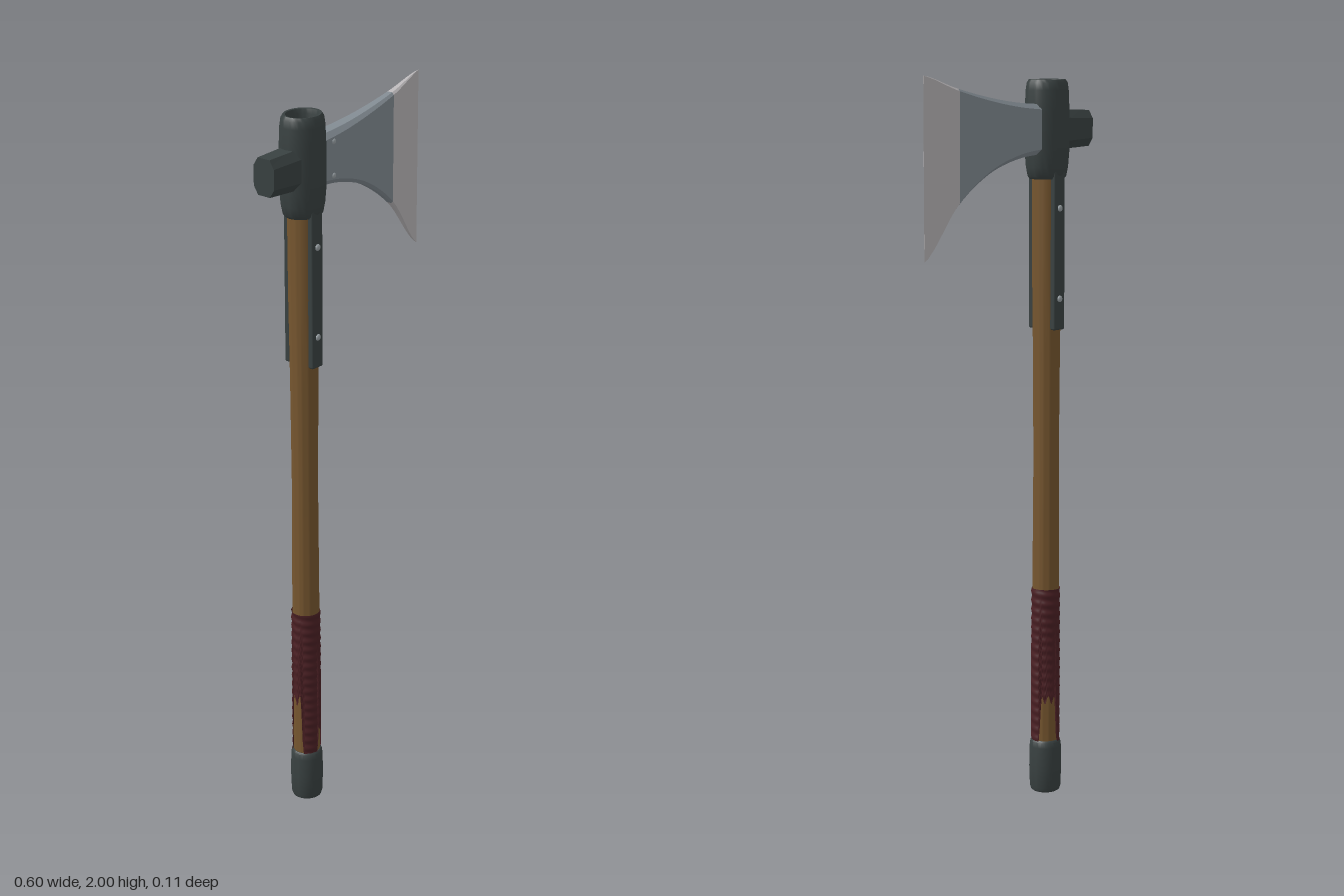
import * as THREE from 'three';
import { toCreasedNormals } from 'three/addons/utils/BufferGeometryUtils.js';
import { RoundedBoxGeometry } from 'three/addons/geometries/RoundedBoxGeometry.js';

const AXIS = -0.157; // x of the haft

function material(name, color, side = THREE.FrontSide) {
  const m = new THREE.MeshStandardMaterial({ color, side });
  m.name = name;
  return m;
}

// Lathe around the haft axis; points are [radius, y]
function lathe(points, zScale = 1) {
  const g = new THREE.LatheGeometry(points.map(p => new THREE.Vector2(p[0], p[1])), 40);
  return toCreasedNormals(g.scale(1, 1, zScale), 0.6).translate(AXIS, 0, 0);
}

// Loft of chamfered sections { x, top, bottom, w (half thickness), c (chamfer) }
function loft(sections) {
  const rings = sections.map(({ x, top, bottom, w, c }) => {
    const n = w * 0.58;
    return [
      [w, bottom + c], [w, top - c], [n, top], [-n, top],
      [-w, top - c], [-w, bottom + c], [-n, bottom], [n, bottom],
    ].map(([z, y]) => [x, y, z]);
  });
  const pos = [];
  const tri = (a, b, c) => pos.push(...a, ...b, ...c);
  for (let i = 0; i < rings.length - 1; i++) {
    for (let j = 0; j < 8; j++) {
      const k = (j + 1) % 8;
      tri(rings[i][j], rings[i + 1][j], rings[i + 1][k]);
      tri(rings[i][j], rings[i + 1][k], rings[i][k]);
    }
  }
  const first = rings[0], last = rings[rings.length - 1];
  for (let j = 1; j < 7; j++) {
    tri(first[0], first[j], first[j + 1]);
    tri(last[0], last[j + 1], last[j]);
  }
  const g = new THREE.BufferGeometry();
  g.setAttribute('position', new THREE.Float32BufferAttribute(pos, 3));
  return toCreasedNormals(g, 0.3);
}

// Ribbed wrap whose lower edge is torn away in three places
function wrapGeometry() {
  const g = new THREE.CylinderGeometry(1, 1, 1, 72, 110, true);
  const p = g.attributes.position;
  const tears = [[0.45, 0.4, 0.075], [2.55, 0.65, 0.125], [4.65, 0.5, 0.17]];
  for (let i = 0; i < p.count; i++) {
    const a = Math.atan2(p.getX(i), p.getZ(i));
    let low = 0.145;
    for (const [center, width, height] of tears) {
      const d = Math.abs(Math.atan2(Math.sin(a - center), Math.cos(a - center))) / width;
      const ragged = 1 + 0.1 * Math.sin(a * 13);
      low += height * ragged * (1 - THREE.MathUtils.smoothstep(d, 0.7, 1.15));
    }
    const y = THREE.MathUtils.lerp(low, 0.585, p.getY(i) + 0.5);
    const r = 0.0392 + 0.0013 * Math.sin((y / 0.026) * Math.PI * 2 + a);
    p.setXYZ(i, AXIS + r * Math.sin(a), y, r * Math.cos(a));
  }
  g.computeVertexNormals();
  return g;
}

export function createModel() {
  const wood = material('wood', 0x76562f);
  const iron = material('dark iron', 0x394141);
  const steel = material('steel', 0x818a91);
  const edge = material('ground edge', 0xb9b6b8);
  const cloth = material('red wrap', 0x4b2024, THREE.DoubleSide);
  const rivetMetal = material('rivet metal', 0x99a1a5);

  const group = new THREE.Group();
  group.name = 'axe';
  const add = (name, geometry, mat) => {
    const mesh = new THREE.Mesh(geometry, mat);
    mesh.name = name;
    group.add(mesh);
    return mesh;
  };

  // Haft with domed top, wrap and end cap
  add('haft', lathe([
    [0.036, 0.03], [0.037, 0.3], [0.037, 0.6], [0.035, 0.95], [0.037, 1.25],
    [0.040, 1.5], [0.041, 1.75], [0.043, 1.93], [0.037, 1.945], [0.022, 1.955], [0, 1.96],
  ]), wood);
  add('gripWrap', wrapGeometry(), cloth);
  add('endCap', lathe([
    [0, 0], [0.034, 0], [0.040, 0.004], [0.043, 0.014], [0.045, 0.07],
    [0.044, 0.13], [0.042, 0.145], [0.038, 0.15], [0.034, 0.15],
  ]), iron);

  // Collar around the top of the haft
  add('collar', lathe([
    [0.040, 1.72], [0.050, 1.718], [0.056, 1.725], [0.061, 1.75], [0.0645, 1.79], [0.0645, 1.9],
    [0.062, 1.955], [0.059, 1.974], [0.053, 1.983], [0.047, 1.982], [0.043, 1.97], [0.042, 1.92],
  ], 0.87), iron);

  // Poll block behind the collar
  add('poll', loft([
    { x: -0.302, top: 1.898, bottom: 1.801, w: 0.034, c: 0.022 },
    { x: -0.207, top: 1.902, bottom: 1.797, w: 0.038, c: 0.022 },
    { x: -0.18, top: 1.902, bottom: 1.797, w: 0.038, c: 0.022 },
  ]), iron);

  // Flaring blade and its ground edge
  const curve = pts => new THREE.SplineCurve(pts.map(p => new THREE.Vector2(p[0], p[1])));
  const upper = curve([[-0.13, 1.918], [-0.022, 1.925], [0.086, 1.942], [0.194, 1.967], [0.302, 2.0]]);
  const lower = curve([[-0.13, 1.786], [-0.022, 1.774], [0.086, 1.735], [0.194, 1.655], [0.302, 1.522]]);
  const section = x => {
    const t = (x + 0.13) / 0.432;
    const w = x < 0.185
      ? THREE.MathUtils.mapLinear(x, -0.13, 0.185, 0.033, 0.0135)
      : 0.0135 * Math.pow((0.3025 - x) / 0.1175, 0.8);
    return { x, top: upper.getPoint(t).y, bottom: lower.getPoint(t).y, w, c: w * 0.45 };
  };
  const span = (a, b, n) => Array.from({ length: n + 1 }, (_, i) => section(a + ((b - a) * i) / n));
  add('blade', loft(span(-0.13, 0.185, 18)), steel);
  add('cuttingEdge', loft(span(0.185, 0.302, 8)), edge);

  // Straps and rivets on front and back of the haft
  const rivet = (name, x, y, z, r) => {
    const mesh = add(name, new THREE.SphereGeometry(r, 16, 10), rivetMetal);
    mesh.scale.z = 0.6;
    mesh.position.set(x, y, z);
  };
  for (const s of [1, -1]) {
    const strap = add('strap', new RoundedBoxGeometry(0.042, 0.44, 0.018, 2, 0.005), iron);
    strap.position.set(AXIS, 1.53, s * 0.040);
    for (const y of [1.64, 1.395]) rivet('strapRivet', AXIS, y, s * 0.049, 0.009);
  }
  for (const y of [1.895, 1.805]) rivet('bladeRivet', -0.07, y, 0.028, 0.008);

  return group;
}
